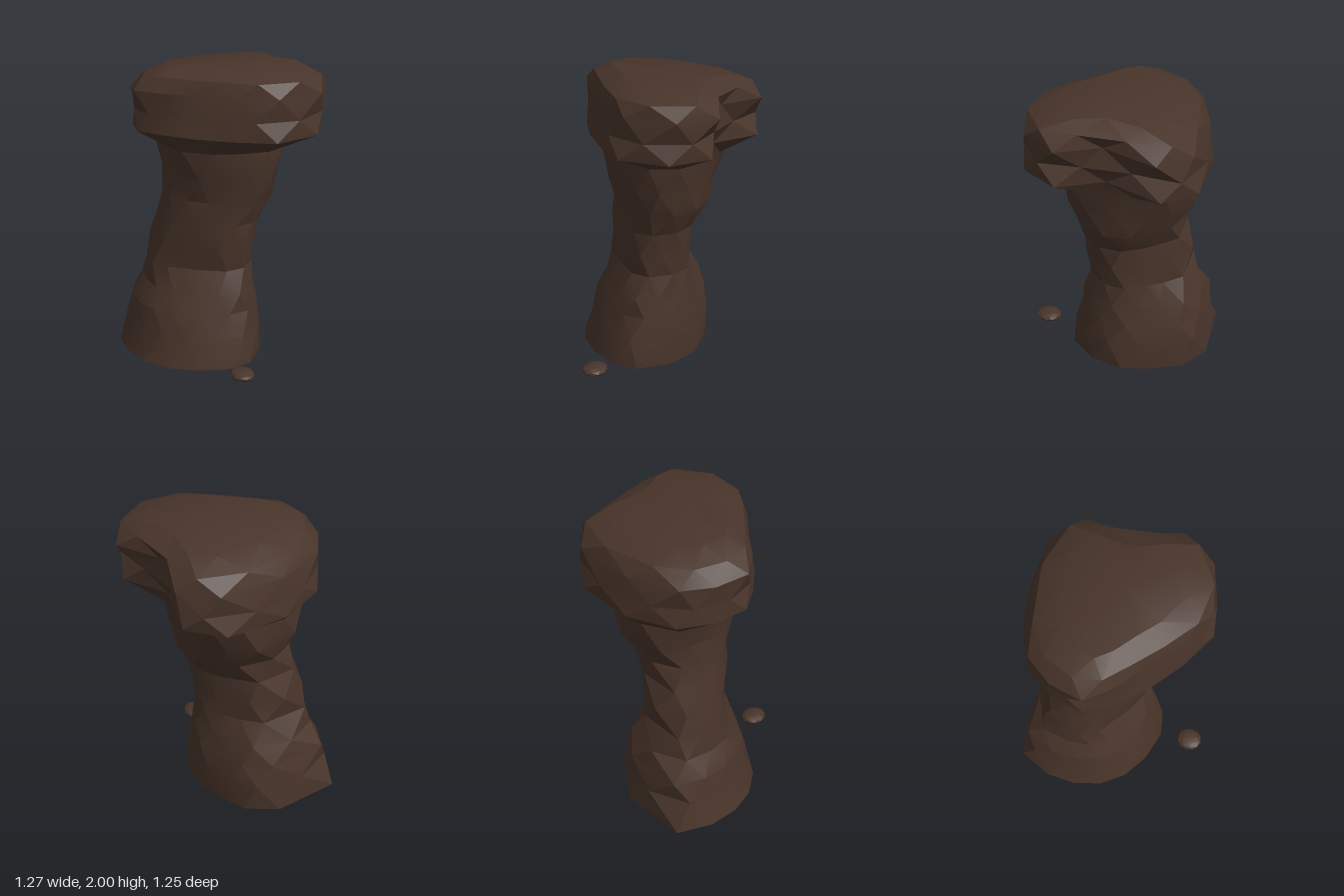
import * as THREE from 'three';
import { toCreasedNormals } from 'three/addons/utils/BufferGeometryUtils.js';

const SIDES = 13;
const closedCurve = (pts) =>
  new THREE.CatmullRomCurve3(pts.map(([x, z]) => new THREE.Vector3(x, 0, z)), true, 'catmullrom', 0.3);

// Plan outlines: the foot of the column and the overhanging cap
const footOutline = closedCurve([[0.26, -0.12], [0.22, 0.1], [0.08, 0.29], [-0.08, 0.33], [-0.29, 0.28], [-0.46, 0.18],
  [-0.58, 0.03], [-0.64, -0.15], [-0.64, -0.36], [-0.55, -0.59], [-0.1, -0.63], [0.1, -0.51], [0.19, -0.34]]);
const capOutline = closedCurve([[0.51, -0.08], [0.63, 0.19], [0.49, 0.44], [0.17, 0.54], [-0.08, 0.42], [-0.27, 0.25],
  [-0.46, 0.1], [-0.58, -0.05], [-0.54, -0.28], [-0.42, -0.47], [-0.1, -0.61], [0.33, -0.63], [0.54, -0.45]]);

// Levels: height, x range, z range, blend from foot to cap outline
const LEVELS = [
  [0, -0.64, 0.26, -0.62, 0.33, 0],
  [0.2, -0.58, 0.26, -0.6, 0.29, 0],
  [0.35, -0.55, 0.25, -0.57, 0.25, 0],
  [0.48, -0.48, 0.22, -0.53, 0.23, 0],
  [0.63, -0.46, 0.21, -0.46, 0.18, 0.05],
  [0.79, -0.43, 0.22, -0.47, 0.2, 0.1],
  [0.95, -0.4, 0.24, -0.45, 0.21, 0.15],
  [1.11, -0.38, 0.33, -0.46, 0.23, 0.2],
  [1.28, -0.36, 0.35, -0.53, 0.29, 0.2],
  [1.46, -0.4, 0.39, -0.52, 0.3, 0.35],
  [1.58, -0.57, 0.59, -0.62, 0.54, 1],
  [1.7, -0.55, 0.54, -0.62, 0.5, 1],
  [1.84, -0.58, 0.63, -0.59, 0.51, 1],
  [1.93, -0.49, 0.54, -0.55, 0.46, 1],
  [1.985, -0.36, 0.45, -0.4, 0.32, 1],
];

// Worn hollows, and bulges where the depth is negative: x, y, z, radius, depth
const HOLLOWS = [
  [-0.3, 0.65, 0.12, 0.3, 0.07],
  [0.2, 0.35, -0.3, 0.25, 0.04],
  [0.14, 0.65, -0.36, 0.28, 0.08],
  [0.15, 0.95, -0.36, 0.3, 0.1],
  [0.26, 1.22, -0.4, 0.25, 0.06],
  [-0.28, 1.12, -0.4, 0.3, 0.06],
  [-0.3, 1.4, 0.2, 0.28, -0.1],
  [0.49, 1.68, -0.12, 0.28, 0.1],
];

// One ring, fitted to its ranges; alternate rings are turned by half a step
function makeRing([y, x0, x1, z0, z1, blend], k) {
  const pts = [];
  for (let i = 0; i < SIDES; i++) {
    const t = ((i + (k % 2) * 0.5) / SIDES) % 1;
    pts.push(footOutline.getPoint(t).lerp(capOutline.getPoint(t), blend));
  }
  const box = new THREE.Box3().setFromPoints(pts);
  for (const p of pts) {
    p.x = THREE.MathUtils.mapLinear(p.x, box.min.x, box.max.x, x0, x1);
    p.z = THREE.MathUtils.mapLinear(p.z, box.min.z, box.max.z, z0, z1);
    // the cap sags towards the back
    p.y = y + (y > 1.5 ? 0.08 * Math.min(p.z, 0) : 0);
    for (const [hx, hy, hz, radius, depth] of HOLLOWS) {
      const near = 1 - p.distanceTo(new THREE.Vector3(hx, hy, hz)) / radius;
      if (near <= 0) continue;
      const inward = new THREE.Vector3((x0 + x1) / 2 - p.x, 0, (z0 + z1) / 2 - p.z).normalize();
      p.addScaledVector(inward, depth * near);
    }
  }
  return pts;
}

function makePillarGeometry() {
  const rings = LEVELS.map(makeRing);
  const positions = [];
  const tri = (...pts) => pts.forEach((p) => positions.push(p.x, p.y, p.z));
  const bottom = new THREE.Vector3(-0.19, 0, -0.15);
  const top = new THREE.Vector3(0.1, 2, 0);
  const last = rings.length - 1;
  for (let i = 0; i < SIDES; i++) {
    const j = (i + 1) % SIDES;
    // zigzag wall between neighbouring rings
    for (let k = 0; k < last; k++) {
      const a = rings[k], b = rings[k + 1];
      if (k % 2 === 0) {
        tri(a[i], b[i], a[j]);
        tri(b[i], b[j], a[j]);
      } else {
        tri(a[i], b[i], b[j]);
        tri(a[i], b[j], a[j]);
      }
    }
    tri(bottom, rings[0][i], rings[0][j]);
    tri(top, rings[last][j], rings[last][i]);
  }
  const geometry = new THREE.BufferGeometry();
  geometry.setAttribute('position', new THREE.Float32BufferAttribute(positions, 3));
  return toCreasedNormals(geometry, 0.33);
}

export function createModel() {
  const group = new THREE.Group();
  group.name = 'rockFormation';
  const rock = new THREE.MeshStandardMaterial({ color: 0x48342a });

  // Column with a wide cap
  const pillar = new THREE.Mesh(makePillarGeometry(), rock);
  pillar.name = 'rockPillar';
  group.add(pillar);

  // Small loose stone with a flattened underside
  const stone = new THREE.IcosahedronGeometry(1, 1);
  const pos = stone.attributes.position;
  for (let i = 0; i < pos.count; i++) {
    const y = Math.max(pos.getY(i), -0.6);
    pos.setXYZ(i, pos.getX(i) * 0.08, y * 0.035, pos.getZ(i) * 0.09);
  }
  const pebble = new THREE.Mesh(toCreasedNormals(stone, 0.33), rock);
  pebble.name = 'pebble';
  pebble.position.set(-0.07, 0.066, 0.54);
  group.add(pebble);

  return group;
}
